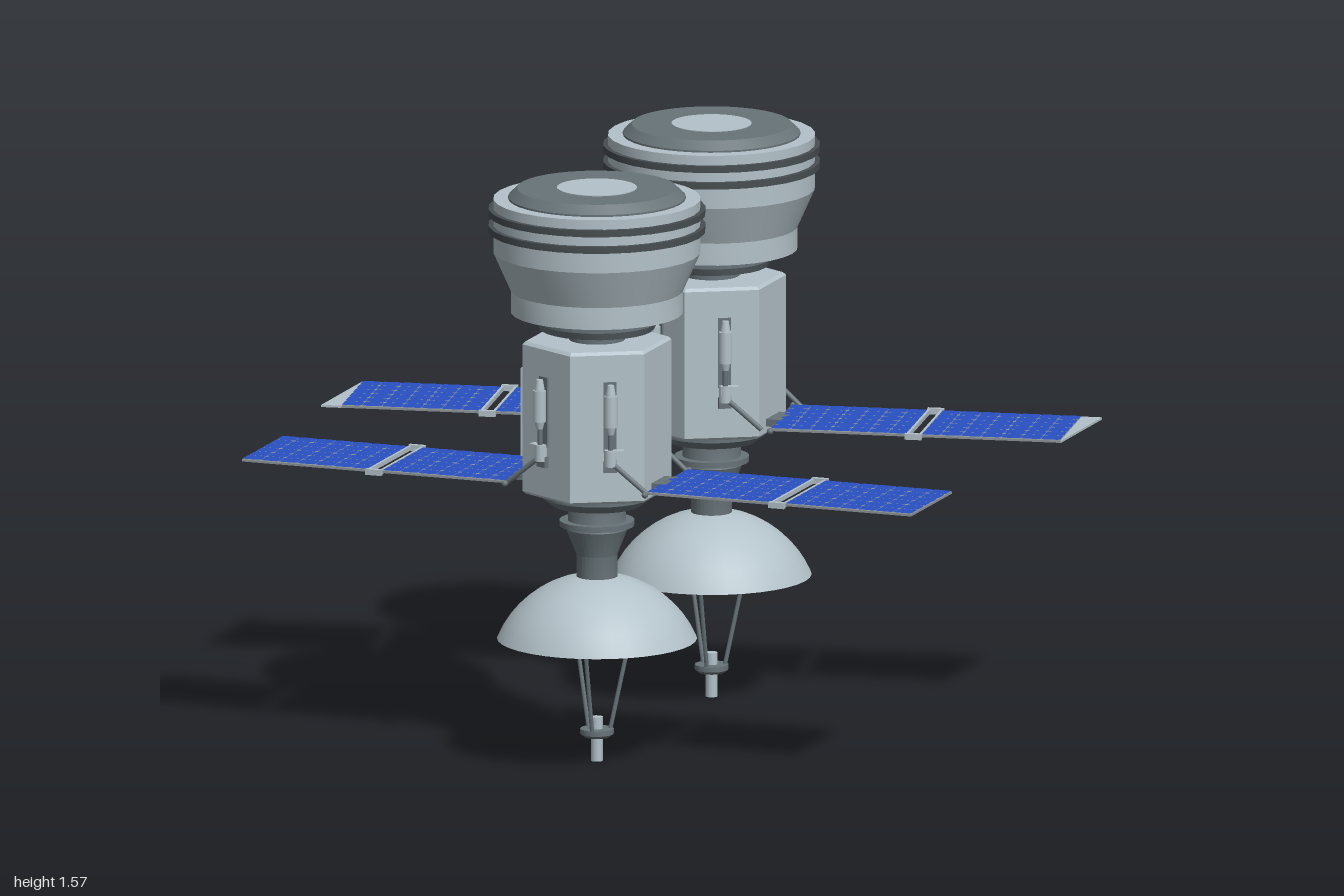
import * as THREE from 'three';
import { mergeGeometries, toCreasedNormals } from 'three/addons/utils/BufferGeometryUtils.js';

const mat = (name, color, side = THREE.FrontSide) => {
  const m = new THREE.MeshStandardMaterial({ color, side });
  m.name = name;
  return m;
};

export function createModel() {
  const M = {
    hull: mat('hull grey', 0xb3c2c9, THREE.DoubleSide),
    dark: mat('dark grey', 0x687479),
    black: mat('charcoal', 0x474e51),
    back: mat('panel backing', 0x8d9498),
    blue: mat('solar blue', 0x2850c2, THREE.DoubleSide),
  };

  const add = (parent, name, geo, material, x = 0, y = 0, z = 0) => {
    const m = new THREE.Mesh(geo, material);
    m.name = name;
    m.position.set(x, y, z);
    parent.add(m);
    return m;
  };
  const group = (parent, name) => {
    const g = new THREE.Group();
    g.name = name;
    parent.add(g);
    return g;
  };
  // Turned part with crisp edges; profile runs bottom to top as [radius, y]
  const lathe = (parent, name, pts, material, seg = 28) =>
    add(parent, name, toCreasedNormals(
      new THREE.LatheGeometry(pts.map(p => new THREE.Vector2(...p)), seg), 0.4), material);
  const cyl = (r0, r1, h, seg = 12) => new THREE.CylinderGeometry(r1, r0, h, seg);
  const box = (x, y, z) => new THREE.BoxGeometry(x, y, z);
  // Round rod between two points
  const rod = (parent, name, a, b, r, material) => {
    const A = new THREE.Vector3(...a), B = new THREE.Vector3(...b);
    const m = add(parent, name, cyl(r, r, A.distanceTo(B), 8), material);
    m.position.copy(A).add(B).multiplyScalar(0.5);
    m.quaternion.setFromUnitVectors(new THREE.Vector3(0, 1, 0), B.sub(A).normalize());
  };

  // One solar panel: grey backing with rows of blue cells having clipped corners
  const panel = (parent, x0, x1, halfW) => {
    const g = group(parent, 'solarPanel');
    const cols = 7, rows = 6, len = x1 - x0;
    add(g, 'panelBacking', box(len, 0.006, halfW * 2), M.back, (x0 + x1) / 2, 0, 0);
    const w = len / cols, d = halfW * 2 / rows, a = w / 2 - 0.0006, b = d / 2 - 0.0006, c = 0.006;
    const s = new THREE.Shape([[a - c, -b], [a, c - b], [a, b - c], [a - c, b],
      [c - a, b], [-a, b - c], [-a, c - b], [c - a, -b]].map(p => new THREE.Vector2(...p)));
    const cells = [];
    for (let i = 0; i < cols; i++) for (let j = 0; j < rows; j++) {
      cells.push(new THREE.ShapeGeometry(s).rotateX(-Math.PI / 2)
        .translate(x0 + (i + 0.5) * w, 0.005, -halfW + (j + 0.5) * d));
    }
    add(g, 'solarCells', mergeGeometries(cells), M.blue);
  };

  // Wing of two panels with an open hinge gap, turned about its root
  const wing = (parent, side, angle, gap, end, tip) => {
    const outer = group(parent, side > 0 ? 'leftWing' : 'rightWing');
    outer.rotation.y = side > 0 ? 0 : Math.PI;
    outer.position.y = 0.775;
    add(outer, 'wingRootBlock', box(0.06, 0.02, 0.1), M.dark, 0.185, -0.005, 0);
    const g = group(outer, 'wingPanels');
    g.position.x = 0.2;
    g.rotation.y = angle;
    const W = 0.152;
    panel(g, 0, gap - 0.018, W);
    panel(g, gap + 0.018, end, W);
    rod(g, 'rootBar', [0, -0.001, -0.165], [0, -0.001, 0.165], 0.005, M.dark);
    for (const s of [-1, 1]) {
      add(g, 'hingeRail', box(0.007, 0.012, W * 2 + 0.02), M.hull, gap + s * 0.0175, 0, 0);
      add(g, 'hingeBracket', box(0.045, 0.016, 0.014), M.hull, gap, 0, s * 0.161);
      add(g, 'rootKnob', new THREE.SphereGeometry(0.009, 10, 8), M.dark, 0, -0.001, s * 0.165);
    }
    if (tip) {
      const s = new THREE.Shape([[end, -0.15], [end + 0.002, -0.15], [end + 0.055, 0.154], [end, 0.154]]
        .map(p => new THREE.Vector2(...p)));
      const geo = new THREE.ExtrudeGeometry(s, { depth: 0.006, bevelEnabled: false })
        .rotateX(-Math.PI / 2).translate(0, -0.003, 0);
      add(g, 'wingTip', geo, M.hull);
    }
  };

  // Thruster unit on a slanted hull face, with a strut down to the wing root
  const thruster = (parent, sx, sz) => {
    const g = group(parent, 'thrusterUnit');
    g.rotation.y = Math.atan2(sx * 0.5, sz * 0.866);
    const k = sx * sz, t = k * 0.007;
    add(g, 'mountPlate', box(0.035, 0.19, 0.008), M.dark, t, 0.975, 0.175);
    add(g, 'canister', cyl(0.018, 0.018, 0.085), M.hull, t, 0.993, 0.191);
    add(g, 'canisterTop', cyl(0.014, 0.009, 0.03), M.hull, t, 1.05, 0.191);
    add(g, 'canisterBottom', cyl(0.009, 0.014, 0.02), M.hull, t, 0.94, 0.191);
    add(g, 'feedPipe', cyl(0.007, 0.007, 0.06), M.dark, t, 0.91, 0.189);
    add(g, 'valve', cyl(0.017, 0.017, 0.045), M.hull, t, 0.865, 0.187);
    add(g, 'valveArm', box(0.05, 0.022, 0.022), M.hull, t + k * 0.012, 0.875, 0.187);
    add(g, 'strutFoot', box(0.035, 0.03, 0.02), M.dark, t, 0.84, 0.178);
    rod(parent, 'wingStrut', [sx * 0.1, 0.855, sz * 0.16], [sx * 0.2, 0.774, sz * 0.15], 0.007, M.dark);
  };

  const satellite = (name, z, angle, gap, end, tip) => {
    const g = group(root, name);
    g.position.z = z;

    // Drum head
    lathe(g, 'drumHead', [[0, 1.225], [0.23, 1.225], [0.23, 1.285], [0.277, 1.39], [0.277, 1.535],
      [0, 1.535]], M.hull);
    for (const y of [1.455, 1.5])
      lathe(g, 'drumBand', [[0.27, y - 0.009], [0.29, y - 0.009], [0.29, y + 0.009], [0.27, y + 0.009]], M.black);
    lathe(g, 'drumCap', [[0.237, 1.53], [0.237, 1.54], [0.213, 1.563], [0, 1.563]], M.dark, 36);
    lathe(g, 'capLens', [[0.107, 1.56], [0.107, 1.565], [0, 1.565]], M.hull, 36);
    lathe(g, 'headCollar', [[0, 1.18], [0.152, 1.18], [0.163, 1.2], [0.163, 1.23]], M.dark);
    lathe(g, 'neck', [[0.075, 1.14], [0.075, 1.185]], M.dark);

    // Six-sided hull with softened edges
    const hex = new THREE.Shape();
    for (let i = 0; i < 6; i++) {
      const a = Math.PI / 2 + i * Math.PI / 3;
      hex[i ? 'lineTo' : 'moveTo'](0.192 * Math.cos(a), 0.192 * Math.sin(a));
    }
    hex.closePath();
    const hull = new THREE.ExtrudeGeometry(hex,
      { depth: 0.4, bevelThickness: 0.008, bevelSize: 0.008, bevelSegments: 1 });
    add(g, 'hull', hull.rotateX(-Math.PI / 2), M.hull, 0, 0.743, 0);

    // Service hatch on the right face
    add(g, 'hatchFrame', box(0.02, 0.24, 0.14), M.hull, -0.182, 0.95, 0);
    add(g, 'hatchSeal', box(0.004, 0.225, 0.125), M.black, -0.192, 0.95, 0);
    add(g, 'hatchDoor', box(0.004, 0.17, 0.085), M.dark, -0.194, 0.95, 0);

    for (const sx of [-1, 1]) for (const sz of [-1, 1]) thruster(g, sx, sz);

    // Lower stem
    lathe(g, 'hullBase', [[0, 0.7], [0.12, 0.7], [0.147, 0.722], [0.147, 0.74]], M.dark);
    lathe(g, 'stem', [[0.055, 0.49], [0.055, 0.565], [0.083, 0.635], [0.078, 0.65], [0.078, 0.705]], M.dark);
    lathe(g, 'stemRing', [[0.07, 0.643], [0.1, 0.643], [0.1, 0.658], [0.07, 0.658]], M.dark);

    // Dish, a spherical cap opening downward
    const dish = [], R = 0.291, rimA = Math.asin(0.267 / R);
    for (let i = 0; i <= 10; i++) {
      const a = rimA * (1 - i / 10);
      dish.push([R * Math.sin(a), 0.219 + R * Math.cos(a)]);
    }
    lathe(g, 'dish', dish, M.hull, 36);
    add(g, 'dishReceiver', cyl(0.045, 0.045, 0.03, 16), M.dark, 0, 0.485, 0);

    // Feed tripod
    for (let i = 0; i < 3; i++) {
      const a = i * Math.PI * 2 / 3, s = Math.sin(a), c = Math.cos(a);
      rod(g, 'tripodLeg', [0.035 * s, 0.08, 0.035 * c], [0.12 * s, 0.478, 0.12 * c], 0.006, M.dark);
    }
    lathe(g, 'feedDisc', [[0, 0.066], [0.035, 0.066], [0.045, 0.074], [0.045, 0.088], [0, 0.088]], M.dark, 16);
    add(g, 'feedHorn', cyl(0.016, 0.016, 0.12), M.hull, 0, 0.06, 0);

    for (const side of [1, -1]) wing(g, side, angle, gap, end, tip);
  };

  const root = new THREE.Group();
  root.name = 'satellitePair';
  satellite('frontSatellite', 0.432, 0, 0.375, 0.755, false);
  satellite('backSatellite', -0.422, 0.178, 0.388, 0.785, true);
  return root;
}
